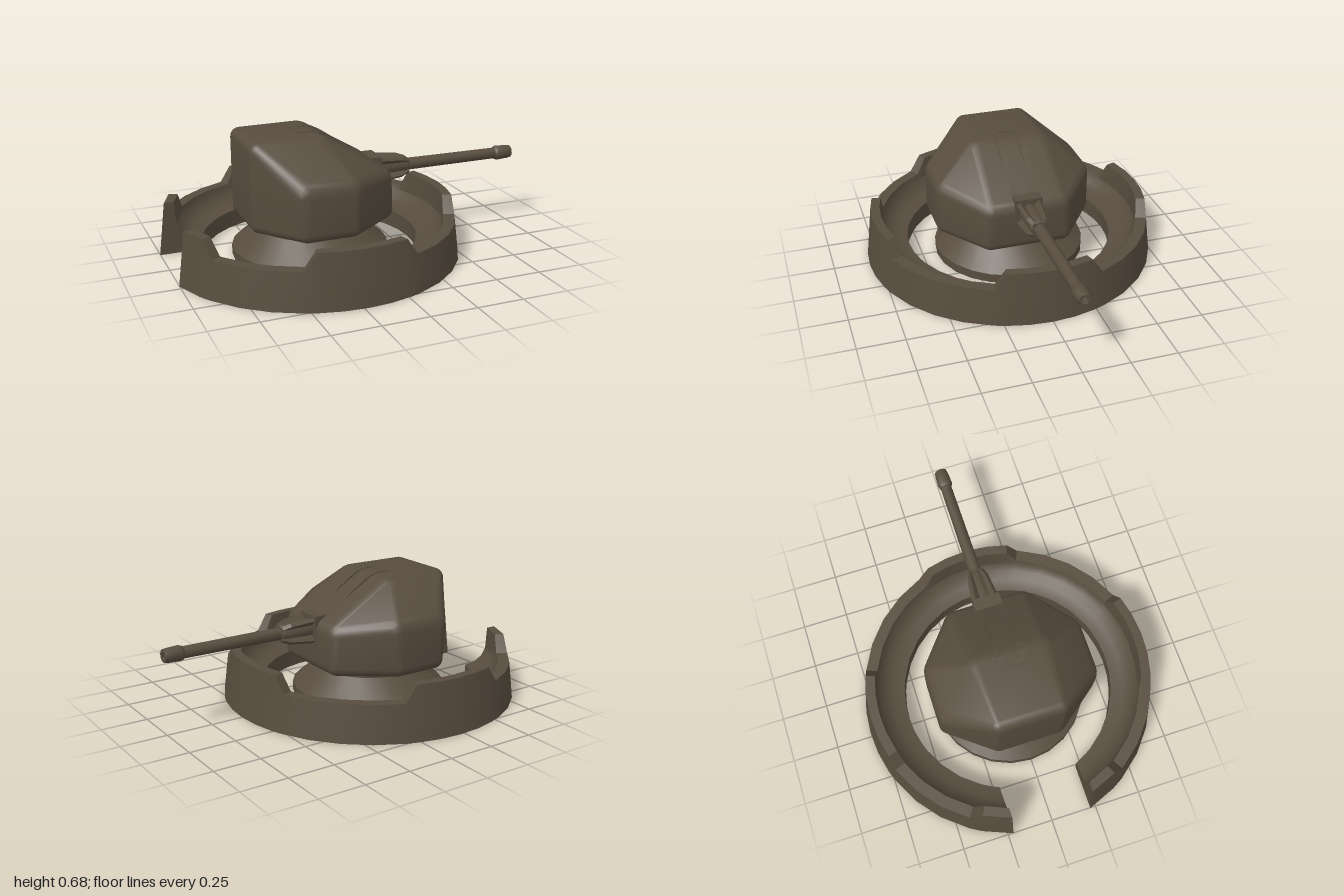
import * as THREE from 'three';
import { toCreasedNormals } from 'three/addons/utils/BufferGeometryUtils.js';
import { ConvexGeometry } from 'three/addons/geometries/ConvexGeometry.js';

const CX = -0.228;     // centre of the ring and turret foot
const GUN_Y = 0.417;   // barrel axis height
const GAP = 0.22;      // half width of the opening in the ring
const FLOOR = 0.2;     // underside of the turret
const NECK = 0.29;     // radius of the foot where it meets the turret
const olive = new THREE.MeshStandardMaterial({ color: 0x574c3e, side: THREE.DoubleSide });
olive.name = 'darkOlive';

function add(parent, name, geometry, x = 0, y = 0, z = 0) {
  const mesh = new THREE.Mesh(geometry, olive);
  mesh.name = name;
  mesh.position.set(x, y, z);
  parent.add(mesh);
  return mesh;
}

// Parapet ring, open underneath: a cross-section swept around, with raised stretches and straight-cut ends
function ringGeometry() {
  const profile = h => [
    [0.805, 0], [0.805 - 0.12 * h, h], [0.72, h], [0.712, 0.17], [0.685, 0.13],
    [0.64, 0.105], [0.575, 0.095], [0.575, 0],
  ];
  const half = [8.75, 17.5, 22, 33.5, 45, 56.5, 68, 72.5, 81.25, 90,
    98.75, 107.5, 112, 123.5, 135, 147, 152, 180];
  const angles = [...half.map(a => -a).reverse(), 0, ...half];
  const raised = a => a <= 17.5 || (a >= 72.5 && a <= 107.5) || a >= 152;
  const pos = [], index = [], n = profile(0.2).length;
  for (const deg of angles) {
    const a = Math.abs(deg);
    for (const [r, y] of profile(raised(a) ? 0.29 : 0.2)) {
      const t = Math.min(a * Math.PI / 180, Math.PI - Math.asin(GAP / r)) * Math.sign(deg);
      pos.push(r * Math.cos(t), y, r * Math.sin(t));
    }
  }
  for (let i = 0; i < angles.length - 1; i++) {
    for (let j = 0; j < n - 1; j++) {
      const a = i * n + j, b = a + 1;
      index.push(a, b, a + n, b, b + n, a + n);
    }
  }
  // end caps
  const outline = profile(0.29).map(p => new THREE.Vector2(...p));
  const last = (angles.length - 1) * n;
  for (const [a, b, c] of THREE.ShapeUtils.triangulateShape(outline, [])) {
    index.push(a, b, c, last + a, last + c, last + b);
  }
  const g = new THREE.BufferGeometry();
  g.setAttribute('position', new THREE.Float32BufferAttribute(pos, 3));
  g.setIndex(index);
  return toCreasedNormals(g, 0.5);
}

// Turret shell: convex hull of spheres [x, y, z, radius], mirrored in z, without its flat floor
function shellGeometry() {
  const corners = [
    [-0.555, 0.25, 0.16, 0.05], [-0.555, 0.63, 0.16, 0.05],
    [-0.38, 0.25, 0.385, 0.05], [-0.375, 0.44, 0.345, 0.09],
    [-0.14, 0.25, 0.385, 0.05], [-0.145, 0.44, 0.345, 0.09],
    [-0.24, 0.58, 0.165, 0.1],
    [0.115, 0.25, 0.2, 0.05], [0.085, 0.41, 0.18, 0.08],
  ];
  const ball = new THREE.IcosahedronGeometry(1, 3).getAttribute('position');
  const pts = [];
  for (const [x, y, z, r] of corners) {
    for (const s of [1, -1]) {
      for (let i = 0; i < ball.count; i++) {
        pts.push(new THREE.Vector3(x + r * ball.getX(i), y + r * ball.getY(i), z * s + r * ball.getZ(i)));
      }
    }
  }
  const hull = new ConvexGeometry(pts).getAttribute('position').array;
  const kept = [];
  for (let i = 0; i < hull.length; i += 9) {
    if (Math.max(hull[i + 1], hull[i + 4], hull[i + 7]) > FLOOR + 0.001) kept.push(...hull.slice(i, i + 9));
  }
  const g = new THREE.BufferGeometry();
  g.setAttribute('position', new THREE.Float32BufferAttribute(kept, 3));
  return toCreasedNormals(g, 0.6);
}

// Turret floor with a round opening over the foot
function floorGeometry() {
  const side = [[-0.555, 0.16], [-0.38, 0.385], [-0.14, 0.385], [0.115, 0.2]];
  const outline = [...side, ...side.map(([x, z]) => [x, -z]).reverse()];
  const shape = new THREE.Shape(outline.map(p => new THREE.Vector2(...p)));
  shape.holes.push(new THREE.Path().absarc(CX, 0, NECK, 0, Math.PI * 2));
  return new THREE.ShapeGeometry(shape, 12).rotateX(Math.PI / 2);
}

// Side outline extruded across z, centred on z = 0
function slab(points, width) {
  const shape = new THREE.Shape(points.map(p => new THREE.Vector2(...p)));
  return new THREE.ExtrudeGeometry(shape, { depth: width, bevelEnabled: false })
    .translate(0, 0, -width / 2);
}

// Round part along x turned from [x, radius] points
function turned(points, sides) {
  const g = new THREE.LatheGeometry(points.map(([x, r]) => new THREE.Vector2(r, x)), sides);
  return toCreasedNormals(g.rotateZ(-Math.PI / 2), 0.8);
}

export function createModel() {
  const model = new THREE.Group();
  model.name = 'gunEmplacement';

  add(model, 'parapetRing', ringGeometry(), CX);

  // Flared foot, open underneath
  const foot = [[0.42, 0], [0.42, 0.05], [NECK, 0.16], [NECK, FLOOR]];
  add(model, 'turretFoot', toCreasedNormals(
    new THREE.LatheGeometry(foot.map(p => new THREE.Vector2(...p)), 24), 0.5), CX);

  const turret = new THREE.Group();
  turret.name = 'turret';
  model.add(turret);
  add(turret, 'turretShell', shellGeometry());
  add(turret, 'turretFloor', floorGeometry(), 0, FLOOR);

  // Rails either side of the elevation slot on the sloping roof
  const rail = [[-0.31, 0.67], [-0.31, 0.683], [-0.24, 0.684], [-0.19, 0.674], [-0.14, 0.648],
    [-0.08, 0.608], [0, 0.553], [0.1, 0.495], [0.14, 0.46], [0.1, 0.45], [-0.2, 0.64]];
  for (const s of [1, -1]) add(turret, 'slotRail', slab(rail, 0.03), 0, 0, s * 0.06);
  add(turret, 'slotRearBar', new THREE.BoxGeometry(0.03, 0.013, 0.09), -0.295, 0.6765, 0);

  // Gun
  const gun = new THREE.Group();
  gun.name = 'gun';
  gun.position.y = GUN_Y;
  turret.add(gun);
  add(gun, 'mountBase', new THREE.BoxGeometry(0.066, 0.165, 0.15), 0.133, -0.003, 0);
  add(gun, 'mountCore', turned([[0.1, 0], [0.1, 0.055], [0.33, 0.048], [0.345, 0.042], [0.345, 0]], 8));
  const fin = [[0.1, 0], [0.1, 0.095], [0.3, 0.07], [0.345, 0.05], [0.345, 0]];
  for (let k = 0; k < 4; k++) {
    add(gun, 'mountFin', slab(fin, 0.022)).rotation.x = Math.PI / 4 + k * Math.PI / 2;
  }
  add(gun, 'barrel', turned([[0.3, 0.034], [0.91, 0.031]], 12));
  add(gun, 'muzzle', turned([[0.895, 0.03], [0.9, 0.036], [0.915, 0.041], [0.975, 0.038],
    [1, 0.034], [1, 0.02], [0.95, 0.018], [0.95, 0]], 12));

  return model;
}
